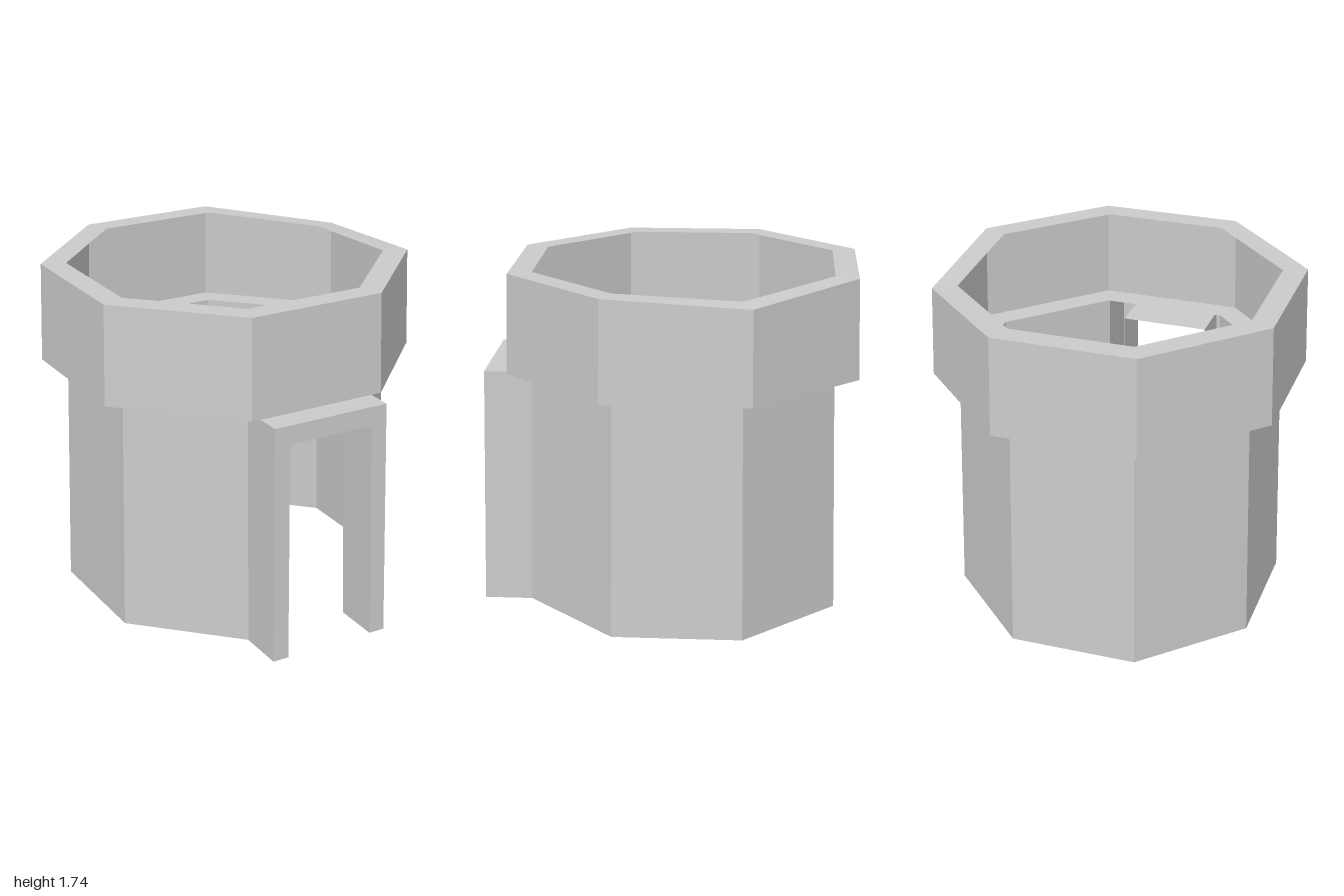
import * as THREE from 'three';

const material = new THREE.MeshStandardMaterial({ color: 0xcccccc, flatShading: true, side: THREE.DoubleSide });
const CENTRE = [-0.005, -0.075];
const FIRST = THREE.MathUtils.degToRad(13.7); // first corner, measured from +z towards +x
const STEP = Math.PI / 4;

// Flat-shaded skin through successive rows of points
function loft(name, rows) {
  const pos = [];
  for (let i = 0; i < rows.length - 1; i++) {
    const a = rows[i], b = rows[i + 1];
    for (let k = 0; k < a.length - 1; k++) {
      for (const p of [a[k], a[k + 1], b[k + 1], a[k], b[k + 1], b[k]]) pos.push(...p);
    }
  }
  const geo = new THREE.BufferGeometry();
  geo.setAttribute('position', new THREE.Float32BufferAttribute(pos, 3));
  geo.computeVertexNormals();
  const mesh = new THREE.Mesh(geo, material);
  mesh.name = name;
  return mesh;
}

// Octagon row with the given number of sides; one corner may be chipped down
function octagon(r, y, sides = 8, chip = 0) {
  return Array.from({ length: sides + 1 }, (_, k) => {
    const a = FIRST + k * STEP;
    return [CENTRE[0] + r * Math.sin(a), y - (k === 2 ? chip : 0), CENTRE[1] + r * Math.cos(a)];
  });
}

const towerRadius = (y) => 0.85 - 0.03 * y / 1.23;

// Door arch row: right foot, over the top, to left foot
function arch(inset, top, depth) {
  const a = FIRST - STEP / 2;
  return [[1, 0], [1, top], [-1, top], [-1, 0]].map(([side, y]) => {
    const r = towerRadius(y);
    const u = side * (r * Math.sin(STEP / 2) - inset);
    const d = r * Math.cos(STEP / 2) + depth;
    return [
      CENTRE[0] + u * Math.cos(a) + d * Math.sin(a), y,
      CENTRE[1] - u * Math.sin(a) + d * Math.cos(a),
    ];
  });
}

export function createModel() {
  const model = new THREE.Group();
  model.name = 'tower';

  // Tapered wall, its front side left open for the doorway
  model.add(loft('towerWall', [octagon(0.85, 0, 7), octagon(0.82, 1.23, 7)]));

  // Overhanging parapet: ledge, outer wall and flat rim with a chipped corner
  model.add(loft('parapet', [
    octagon(0.82, 1.23),
    octagon(0.952, 1.23),
    octagon(0.937, 1.74, 8, 0.04),
    octagon(0.81, 1.74, 8, 0.03),
  ]));

  // Hollow door surround: outer sides, front frame, inner reveal
  model.add(loft('doorFrame', [
    arch(0, 1.227, 0),
    arch(0, 1.227, 0.245),
    arch(0.085, 1.13, 0.245),
    arch(0.085, 1.13, 0),
  ]));

  return model;
}
